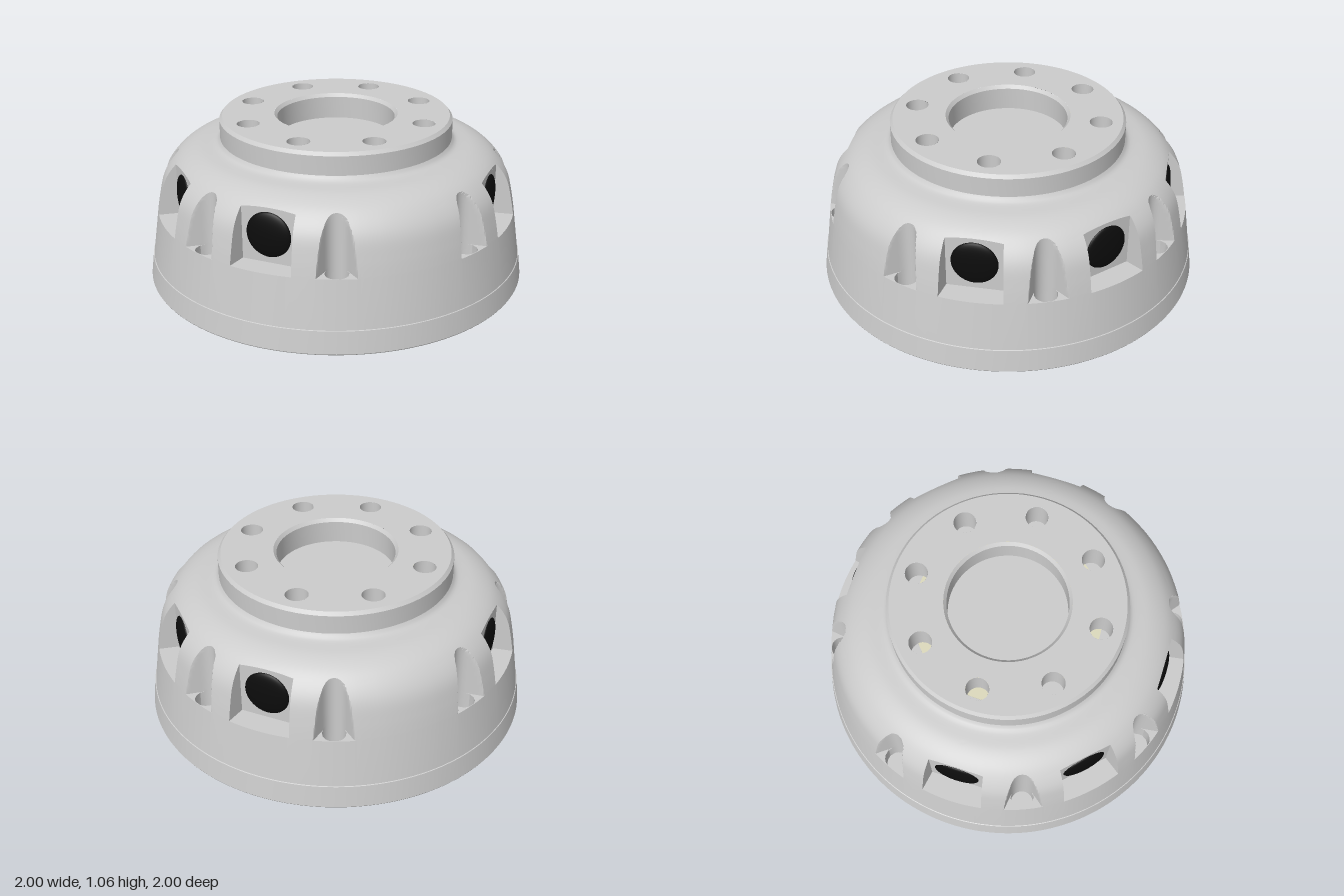
import * as THREE from 'three';
import { toCreasedNormals } from 'three/addons/utils/BufferGeometryUtils.js';

const FLOOR = 0.57;              // level of the pocket floors
const BOLT_R = 0.058;
const SCALLOP_R = 0.887;         // distance of the scallops from the axis
const WALL = 0.83;               // distance of the flat window walls

const metal = new THREE.MeshStandardMaterial({ color: 0xcccccc });
const metalBoth = new THREE.MeshStandardMaterial({ color: 0xcccccc, side: THREE.DoubleSide });
const cream = new THREE.MeshStandardMaterial({ color: 0xdcd9bc });
const black = new THREE.MeshStandardMaterial({ color: 0x0c0c0c });

// Columns of the housing: angle, pocket wall radius and bolt hole entry / exit
function makeColumns() {
  const columns = [];
  const flare = Math.tan(Math.PI / 6);
  const half = Math.atan(0.145 / 0.86);
  const scallopSide = [0.0654, 0.0582, 0.045, 0.03, 0.015];
  const outer = [0.12, 0.108, 0.102, 0.096, 0.09, 0.084, 0.077, 0.07];
  const pos = [...outer, ...scallopSide];
  const scallopOffsets = [...pos.map(v => -v), 0, ...pos.slice().reverse()];

  for (let k = 0; k < 16; k++) {
    const centre = k * Math.PI / 8;
    const add = (t, q = Infinity, hole = null) => columns.push({ a: centre + t, q, hole });
    if (k % 2) {
      for (const t of scallopOffsets) {
        const s = Math.abs(t);
        const root = Math.sqrt(Math.max(0, BOLT_R ** 2 - (SCALLOP_R * Math.sin(s)) ** 2));
        const near = SCALLOP_R * Math.cos(s) - root;
        const far = SCALLOP_R * Math.cos(s) + root;
        const flared = 0.445 / (flare * Math.cos(s) - Math.sin(s));
        add(t, s < 0.0583 ? near : flared, s < 0.0655 ? [near, far] : null);
      }
    } else {
      const window = k !== 4 && k !== 12;
      add(-0.23);
      add(-half);
      for (let i = 0; i <= 10; i++) {
        const t = half * (i / 5 - 1);
        add(t, window ? WALL / Math.cos(t) : Infinity);
      }
      add(half);
      add(0.23);
    }
  }
  return columns;
}

// Housing skin: a turned profile cut back wherever a pocket lies
function housingGeometry() {
  const base = [[0, 0.2], [0.997, 0.2], [1, 0.205], [0.985, 0.32], [0.981, 0.322], [0.945, FLOOR]];
  const shoulder = new THREE.SplineCurve([
    [0.945, FLOOR], [0.93, 0.65], [0.908, 0.74], [0.877, 0.8], [0.83, 0.852],
    [0.78, 0.885], [0.72, 0.907], [0.645, 0.918], [0.62, 0.926], [0.605, 0.945],
  ].map(p => new THREE.Vector2(...p))).getSpacedPoints(44);

  const grid = makeColumns().map(({ a, q, hole }) => {
    const wall = Math.min(q, 0.945);
    const pts = base.map(p => [...p]);
    if (hole) {
      const far = Math.min(hole[1], 0.942);
      pts.push([far, FLOOR], [far, 0.46], [hole[0], 0.46], [hole[0], FLOOR]);
    } else {
      for (let i = 0; i < 4; i++) pts.push([wall, FLOOR]);
    }
    pts.push([wall, FLOOR]);
    shoulder.forEach((p, i) => {
      const next = shoulder[i + 1];
      let y = p.y;
      // the last cut row sits exactly on the pocket's upper edge
      if (next && p.x > wall && next.x <= wall) {
        y += (next.y - p.y) * (p.x - wall) / (p.x - next.x);
      }
      pts.push([Math.min(p.x, wall), y]);
    });
    return pts.map(([r, y]) => new THREE.Vector3(r * Math.cos(a), y, r * Math.sin(a)));
  });

  const out = [];
  const ab = new THREE.Vector3(), ac = new THREE.Vector3();
  const tri = (a, b, c) => {
    ab.subVectors(b, a);
    ac.subVectors(c, a);
    if (ab.cross(ac).length() > 1e-9) for (const v of [a, b, c]) out.push(v.x, v.y, v.z);
  };
  grid.forEach((col, j) => {
    const next = grid[(j + 1) % grid.length];
    for (let i = 0; i < col.length - 1; i++) {
      tri(col[i], col[i + 1], next[i]);
      tri(next[i], col[i + 1], next[i + 1]);
    }
  });
  const g = new THREE.BufferGeometry();
  g.setAttribute('position', new THREE.Float32BufferAttribute(out, 3));
  return toCreasedNormals(g, 0.5);
}

function lathe(points) {
  const g = new THREE.LatheGeometry(points.map(p => new THREE.Vector2(...p)), 72);
  return toCreasedNormals(g, 0.5);
}

export function createModel() {
  const model = new THREE.Group();
  const add = (name, geometry, material) => {
    const mesh = new THREE.Mesh(geometry, material);
    mesh.name = name;
    model.add(mesh);
    return mesh;
  };

  add('housing', housingGeometry(), metal);

  // Raised flange with a central bore
  add('flangeRim', lathe([[0.605, 0.91], [0.605, 1.043], [0.59, 1.06]]), metal);
  add('centreBore', lathe([[0.32, 1.06], [0.305, 1.043], [0.305, 0.925], [0, 0.925]]), metal);

  const face = new THREE.Shape().absarc(0, 0, 0.59, 0, Math.PI * 2);
  face.holes.push(new THREE.Path().absarc(0, 0, 0.32, 0, Math.PI * 2, true));

  // Ring of bolt holes
  for (let k = 0; k < 8; k++) {
    const a = k * Math.PI / 4;
    const x = 0.48 * Math.cos(a), z = 0.48 * Math.sin(a);
    face.holes.push(new THREE.Path().absarc(x, -z, BOLT_R, 0, Math.PI * 2, true));
    const wall = new THREE.CylinderGeometry(BOLT_R, BOLT_R, 0.165, 28, 1, true);
    add('boltHoleWall', wall, metalBoth).position.set(x, 0.9775, z);
    const bottom = add('boltHoleFloor', new THREE.CircleGeometry(BOLT_R, 28), metal);
    bottom.rotation.x = -Math.PI / 2;
    bottom.position.set(x, k === 4 ? 0.908 : 0.897, z);
  }
  const top = add('flangeFace', new THREE.ShapeGeometry(face, 72), metal);
  top.rotation.x = -Math.PI / 2;
  top.position.y = 1.06;

  // Central hub, rising inside the housing and standing out below it
  add('hub', new THREE.CylinderGeometry(0.48, 0.48, 0.902, 72), cream).position.y = 0.451;

  // Dark round ports in the window pockets
  for (const k of [0, 1, 3, 4, 5, 7]) {
    const a = k * Math.PI / 4;
    const port = add('port', new THREE.SphereGeometry(0.115, 36, 20), black);
    port.scale.x = 0.22;
    port.rotation.y = -a;
    port.position.set(WALL * Math.cos(a), 0.715, WALL * Math.sin(a));
  }

  return model;
}
